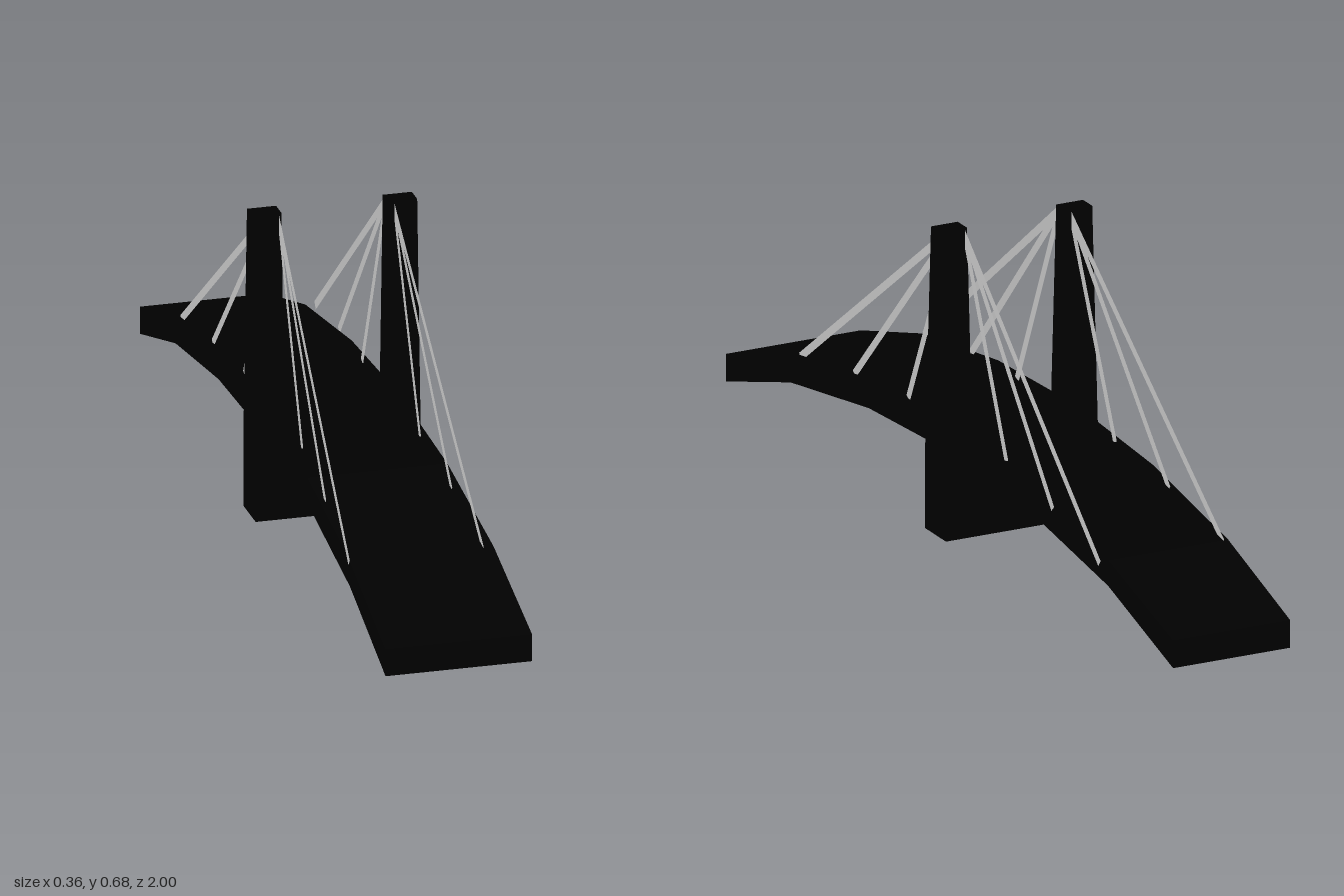
import * as THREE from 'three';

const dark = new THREE.MeshStandardMaterial({ name: 'black structure', color: 0x000000 });
const steel = new THREE.MeshStandardMaterial({ name: 'cable grey', color: 0xc0c0c0, side: THREE.DoubleSide });

// Arched roadway: a segmented box bent along the bridge and slightly tapered
function makeDeck() {
  // Top and bottom heights from midspan out to either end
  const stations = [[0, 0.235, 0.179], [0.36, 0.217, 0.161], [0.71, 0.164, 0.107], [1, 0.078, 0.017]];
  const geo = new THREE.BoxGeometry(2, 1, 6, 1, 1, 6);
  const p = geo.attributes.position;
  for (let i = 0; i < p.count; i++) {
    const step = Math.round(p.getZ(i));
    const [dist, top, bottom] = stations[Math.abs(step)];
    const z = Math.sign(step) * dist;
    const x = p.getX(i) < 0 ? -0.15 - 0.013 * z : 0.146 + 0.008 * z;
    p.setXYZ(i, x, p.getY(i) > 0 ? top : bottom, z);
  }
  const flat = geo.toNonIndexed();
  flat.computeVertexNormals();
  const mesh = new THREE.Mesh(flat, dark);
  mesh.name = 'deck';
  return mesh;
}

// Tower: straight foot, then tapering along the bridge towards the top
function makeTower(side) {
  const s = new THREE.Shape();
  s.moveTo(-0.047, 0);
  s.lineTo(0.047, 0);
  s.lineTo(0.047, 0.19);
  s.lineTo(0.021, 0.677);
  s.lineTo(-0.021, 0.677);
  s.lineTo(-0.047, 0.19);
  const geo = new THREE.ExtrudeGeometry(s, { depth: 0.063, bevelEnabled: false });
  geo.translate(0, 0, -0.0315);
  geo.rotateY(Math.PI / 2);
  const mesh = new THREE.Mesh(geo, dark);
  mesh.position.x = side * 0.147;
  mesh.name = side > 0 ? 'leftTower' : 'rightTower';
  return mesh;
}

// Flat cable strip, wide in the vertical plane and without thickness across
function makeCable(a, b, width) {
  const dir = b.clone().sub(a).normalize();
  const off = new THREE.Vector3(0, -dir.z, dir.y).normalize().multiplyScalar(width / 2);
  const corners = [a.clone().add(off), a.clone().sub(off), b.clone().sub(off), b.clone().add(off)];
  const geo = new THREE.BufferGeometry().setFromPoints(corners);
  geo.setIndex([0, 1, 2, 0, 2, 3]);
  geo.computeVertexNormals();
  const mesh = new THREE.Mesh(geo, steel);
  mesh.name = 'cable';
  return mesh;
}

export function createModel() {
  const bridge = new THREE.Group();
  bridge.name = 'cableStayedBridge';
  bridge.add(makeDeck(), makeTower(1), makeTower(-1));

  // Pier wall joining the feet of the towers
  const pier = new THREE.Mesh(new THREE.BoxGeometry(0.3, 0.2, 0.094), dark);
  pier.position.y = 0.1;
  pier.name = 'pierWall';
  bridge.add(pier);

  // Cable fans: one diagonal pair splays outwards, the other stays straight
  const ends = [[0.22, 0.225, 0.126], [0.465, 0.2, 0.144], [0.71, 0.16, 0.161]];
  for (const side of [1, -1]) {
    for (const along of [1, -1]) {
      const fan = new THREE.Group();
      fan.name = (side > 0 ? 'left' : 'right') + (along > 0 ? 'Front' : 'Back') + 'Cables';
      const splayed = side !== along;
      for (const [z, y, x] of ends) {
        fan.add(makeCable(
          new THREE.Vector3(side * (splayed ? 0.121 : 0.129), 0.665, along * 0.018),
          new THREE.Vector3(side * (splayed ? x : 0.129), y, along * z), 0.018));
      }
      bridge.add(fan);
    }
  }
  return bridge;
}
